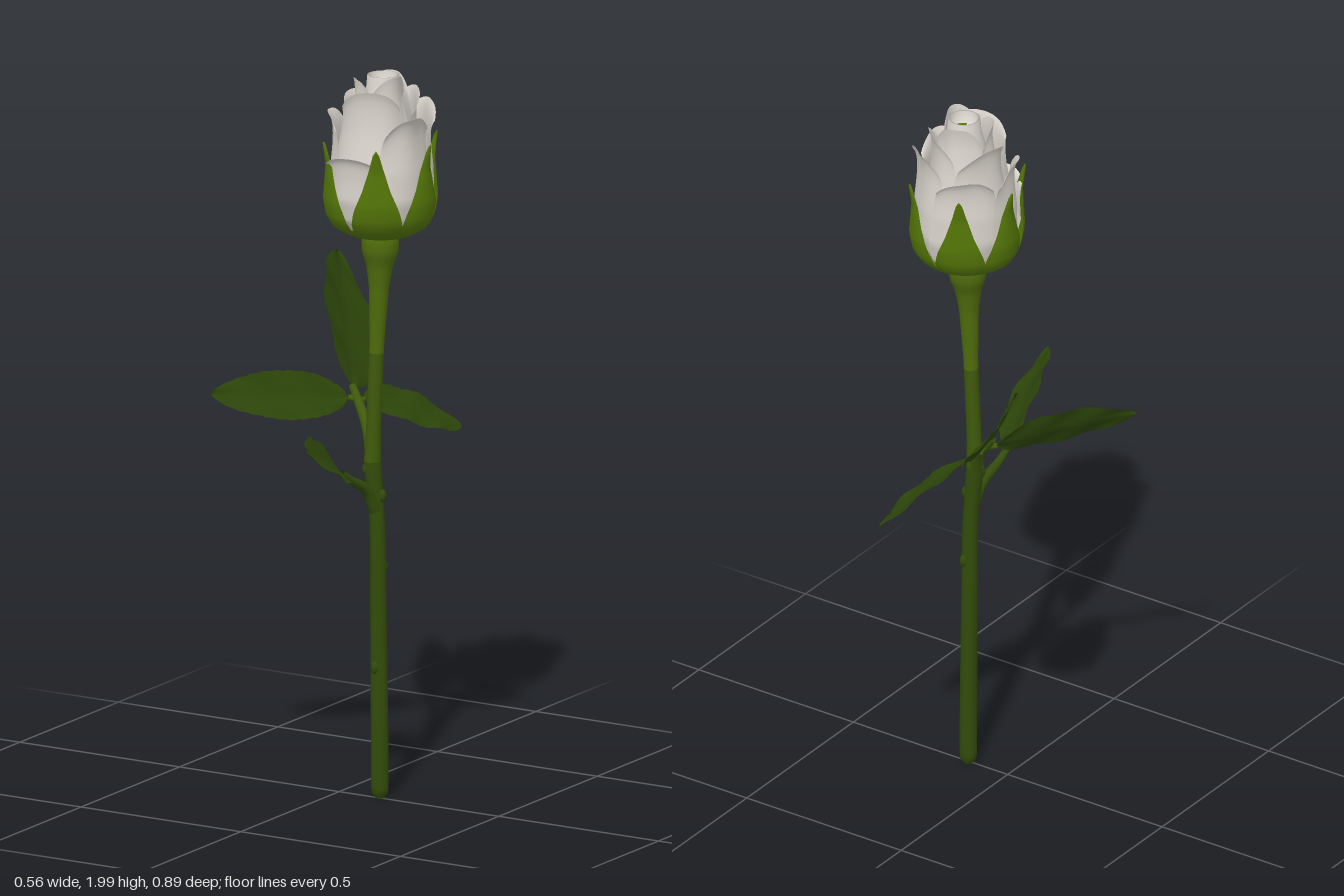
import * as THREE from 'three';
import { mergeVertices } from 'three/addons/utils/BufferGeometryUtils.js';

const V = (x, y, z) => new THREE.Vector3(x, y, z);
const mat = (name, color) => {
  const m = new THREE.MeshStandardMaterial({ color, side: THREE.DoubleSide });
  m.name = name;
  return m;
};

// Grid surface: fn(u in -1..1, t in 0..1) gives a point
function patch(nu, nt, fn) {
  const g = new THREE.PlaneGeometry(2, 1, nu, nt);
  const p = g.attributes.position;
  for (let i = 0; i < p.count; i++) {
    const v = fn(p.getX(i), p.getY(i) + 0.5);
    p.setXYZ(i, v.x, v.y, v.z);
  }
  g.deleteAttribute('uv');
  g.deleteAttribute('normal');
  const m = mergeVertices(g, 1e-5);
  m.computeVertexNormals();
  return m;
}

// Linear lookup in a short list of [key, value] pairs
function lookup(table, k) {
  if (k <= table[0][0]) return table[0][1];
  for (let i = 1; i < table.length; i++) {
    const [a, va] = table[i - 1], [b, vb] = table[i];
    if (k <= b) return va + (vb - va) * (k - a) / (b - a);
  }
  return table[table.length - 1][1];
}

// Round stalk along points, with a radius rule of t and height
function stalk(points, radius, rows) {
  const curve = new THREE.CatmullRomCurve3(points);
  return patch(14, rows, (u, t) => {
    const c = curve.getPoint(t), d = curve.getTangent(t);
    const a = V(1, 0, 0).addScaledVector(d, -d.x).normalize();
    const b = d.clone().cross(a), q = u * Math.PI, r = radius(t, c.y);
    return c.addScaledVector(a, Math.cos(q) * r).addScaledVector(b, Math.sin(q) * r);
  });
}

// Serrated leaf blade from base to tip; across points to its lower side edge
function leaf(base, tip, across, half, bend) {
  const L = tip.clone().sub(base), len = L.length(), l = L.clone().normalize();
  const w = across.clone().addScaledVector(l, -across.dot(l)).normalize();
  const n = w.clone().cross(l).normalize();
  if (n.y < 0) n.negate();
  return patch(10, 54, (u, t) => {
    const saw = 0.97 + 0.06 * ((t * 11) % 1) * Math.abs(u);
    const width = half * Math.pow(Math.max(0, Math.sin(Math.PI * Math.pow(t, 0.85))), 0.64) * saw;
    const lift = bend * len * Math.sin(Math.PI * t) + 0.12 * width * Math.abs(u)
      + 0.004 * Math.sin(t * 17 + u * 3) * Math.abs(u);
    return base.clone().addScaledVector(L, t).addScaledVector(w, u * width).addScaledVector(n, lift);
  });
}

const CX = 0.115, CZ = -0.025;
const around = (a, r, y) => V(CX + Math.cos(a) * r, y, CZ + Math.sin(a) * r);
const rad = THREE.MathUtils.degToRad;

// Petal wrapped round the bud axis; one side tucks under its neighbour
function petal(angle, span, top, profile, curl) {
  const y0 = 1.56;
  return patch(18, 24, (u, t) => {
    const y = y0 + (top - y0) * (t - 0.12 * Math.pow(Math.abs(u), 2.5) * t * t - 0.03 * Math.pow(t, 14));
    const narrow = 1 - 0.25 * Math.pow(t, 3);
    const r = lookup(profile, y) + 0.009 * u + curl * Math.pow(t, 7) * (1 - 0.3 * u * u)
      + 0.003 * Math.sin(5 * u + angle * 3) * t;
    return around(angle + u * rad(span) * narrow, r, y);
  });
}

export function createModel() {
  const model = new THREE.Group();
  const petalWhite = mat('petalWhite', 0xd9d4cc);
  const calyxGreen = mat('calyxGreen', 0x547608);
  const upperStemGreen = mat('upperStemGreen', 0x4e6b0c);
  const midStemGreen = mat('midStemGreen', 0x3f590b);
  const lowerStemGreen = mat('lowerStemGreen', 0x324b0a);
  const leafGreen = mat('leafGreen', 0x2d460a);
  const add = (name, geometry, material, parent = model) => {
    const m = new THREE.Mesh(geometry, material);
    m.name = name;
    parent.add(m);
    return m;
  };

  // Stem in three shades
  const stemRadius = [[0, 0.012], [0.008, 0.021], [0.03, 0.024], [0.6, 0.022], [0.8, 0.021], [0.9, 0.024],
    [1.0, 0.02], [1.25, 0.02], [1.4, 0.027], [1.46, 0.036], [1.5, 0.05], [1.53, 0.05], [1.56, 0.04]];
  const r = (t, y) => lookup(stemRadius, y);
  const p1 = V(0.097, 0.92, -0.012), p2 = V(0.106, 1.22, -0.018);
  add('lowerStem', stalk([V(0.125, 0, -0.004), V(0.124, 0.2, -0.004), V(0.117, 0.5, -0.01), V(0.112, 0.75, -0.012), p1], r, 60), lowerStemGreen);
  add('middleStem', stalk([p1, V(0.101, 1.07, -0.015), p2], r, 16), midStemGreen);
  add('upperStem', stalk([p2, V(0.112, 1.4, -0.02), V(CX, 1.56, CZ)], r, 30), upperStemGreen);
  const cap = add('stemEnd', new THREE.CircleGeometry(0.014, 14), lowerStemGreen);
  cap.rotation.x = Math.PI / 2;
  cap.position.set(0.125, 0.002, -0.004);

  // Small knobs on the stem
  for (const [x, y, z] of [[0.122, 0.63, -0.03], [0.12, 0.36, 0.012], [0.128, 0.83, -0.012], [0.085, 0.9, 0]]) {
    const k = add('stemKnob', new THREE.SphereGeometry(0.011, 10, 8), lowerStemGreen);
    k.scale.y = 1.6;
    k.position.set(x, y, z);
  }

  // Leaf stalks
  const fork = V(0.0, 1.05, -0.1), bigBase = V(-0.03, 1.09, -0.115);
  const sideBase = V(-0.03, 1.06, -0.095), backBase = V(-0.005, 1.05, -0.135), frontBase = V(0.085, 0.915, 0.125);
  const taper = (a, b) => t => a + (b - a) * t;
  add('upperLeafStalk', stalk([V(0.095, 0.91, -0.015), V(0.06, 0.99, -0.05), fork, bigBase], taper(0.018, 0.01), 16), midStemGreen);
  add('sideLeafStalk', stalk([fork, V(-0.015, 1.058, -0.102), sideBase], taper(0.01, 0.008), 6), midStemGreen);
  add('backLeafStalk', stalk([fork, V(0, 1.052, -0.12), backBase], taper(0.01, 0.008), 6), midStemGreen);
  add('lowerLeafStalk', stalk([V(0.11, 0.79, -0.005), V(0.1, 0.85, 0.025), V(0.09, 0.885, 0.08), frontBase], taper(0.018, 0.009), 14), lowerStemGreen);

  // Leaves
  add('bigLeaf', leaf(bigBase, V(-0.275, 1.355, -0.44), V(0.23, -0.65, -0.7), 0.122, 0.01), leafGreen);
  add('backLeaf', leaf(backBase, V(0.11, 0.925, -0.44), V(0.75, -0.5, 0.3), 0.078, 0.025), leafGreen);
  add('sideLeaf', leaf(sideBase, V(-0.28, 1.1, 0.2), V(0.3, -0.8, 0.25), 0.068, 0.02), leafGreen);
  add('frontLeaf', leaf(frontBase, V(0.17, 1.05, 0.44), V(0.71, -0.62, 0.09), 0.076, 0.025), leafGreen);

  // Calyx cup and six sepals, broad below with long thin tips
  const cup = [[0.035, 1.545], [0.085, 1.55], [0.122, 1.57], [0.132, 1.583]].map(([x, y]) => new THREE.Vector2(x, y));
  add('calyxCup', new THREE.LatheGeometry(cup, 36), calyxGreen).position.set(CX, 0, CZ);
  const sepalRadius = [[1.55, 0.085], [1.572, 0.128], [1.605, 0.149], [1.65, 0.158], [1.7, 0.157], [1.75, 0.156], [1.82, 0.168]];
  const sepalHalf = [[0, 31], [0.15, 30], [0.32, 25], [0.55, 15], [0.8, 7], [0.95, 3], [1, 0]];
  for (const deg of [5, 63, 127, 188, 243, 304]) {
    add('sepal', patch(8, 20, (u, t) => {
      const y = 1.55 + 0.265 * t;
      return around(rad(deg + u * lookup(sepalHalf, t)), lookup(sepalRadius, y) - 0.006 * u * u, y);
    }), calyxGreen);
  }

  // Petals in three overlapping layers
  const bud = new THREE.Group();
  bud.name = 'bud';
  model.add(bud);
  const layers = [
    ['outerPetal', [[1.56, 0.08], [1.6, 0.122], [1.66, 0.138], [1.74, 0.135], [1.84, 0.121], [1.93, 0.112]],
      0.026, 44, 20, [1.9, 1.79, 1.89, 1.87, 1.92]],
    ['middlePetal', [[1.56, 0.07], [1.62, 0.115], [1.72, 0.12], [1.84, 0.095], [1.97, 0.075]],
      0.024, 68, 75, [1.97, 1.94, 1.96]],
    ['innerPetal', [[1.56, 0.06], [1.7, 0.1], [1.84, 0.08], [1.93, 0.06], [2, 0.052]],
      0.014, 80, 20, [2.005, 1.99, 1.995]],
  ];
  for (const [name, profile, curl, span, start, tops] of layers) {
    tops.forEach((top, i) =>
      add(name, petal(rad(start + i * 360 / tops.length), span, top, profile, curl), petalWhite, bud));
  }

  // Rolled heart with a thin green crescent inside
  const heart = [[0.1, 1.6], [0.1, 1.72], [0.068, 1.86], [0.046, 1.95], [0.043, 1.985], [0.038, 1.985], [0.036, 1.945], [0.001, 1.945]]
    .map(([x, y]) => new THREE.Vector2(x, y));
  add('petalHeart', new THREE.LatheGeometry(heart, 32), petalWhite, bud).position.set(CX + 0.005, 0, CZ - 0.005);
  const crescent = add('heartCrescent', new THREE.RingGeometry(0.024, 0.037, 28, 1, -1.2, 3.4), calyxGreen, bud);
  crescent.rotation.x = -Math.PI / 2;
  crescent.position.set(CX + 0.005, 1.95, CZ - 0.005);

  return model;
}
